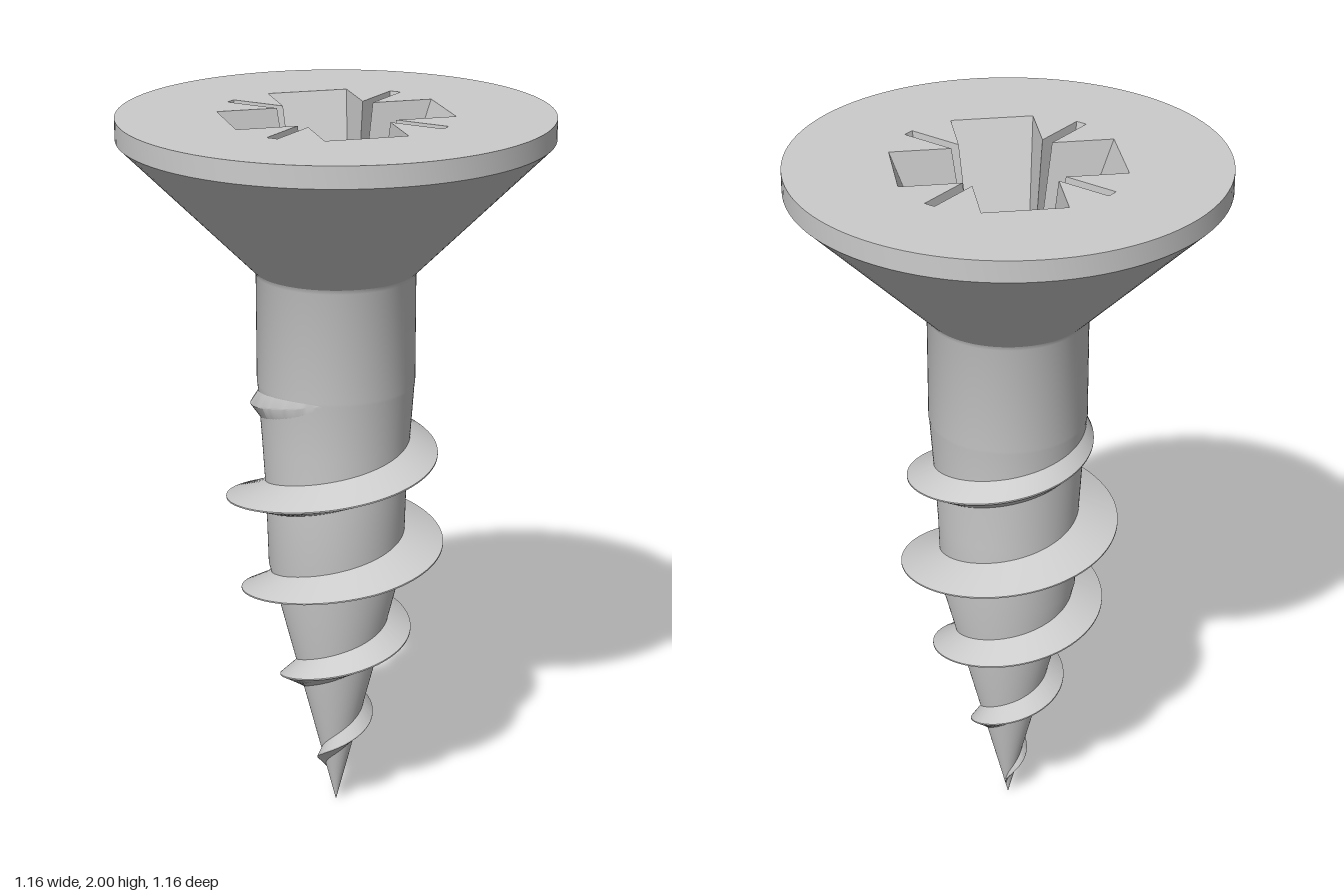
import * as THREE from 'three';
import { toCreasedNormals } from 'three/addons/utils/BufferGeometryUtils.js';

const TOP = 2, FLOOR = 1.6, SLOT_Y = 1.74;
const CORE = [[0, 0], [0.74, 0.187], [0.95, 0.193], [1.1, 0.202], [1.26, 0.213]];
const CREST = [[0.02, 0.004], [0.15, 0.058], [0.75, 0.295], [0.95, 0.303], [1.0, 0.298], [1.08, 0.275], [1.3, 0.2]];

// Linear lookup of a radius at height y
function radiusAt(table, y) {
  if (y <= table[0][0]) return table[0][1];
  for (let i = 1; i < table.length; i++) {
    const [y0, r0] = table[i - 1], [y1, r1] = table[i];
    if (y <= y1) return r0 + (r1 - r0) * (y - y0) / (y1 - y0);
  }
  return table[table.length - 1][1];
}

// Helical ridge, swept from a tapering section
function threadGeometry() {
  const pitch = 0.268, steps = 460, start = -1.5 * Math.PI, end = 7.75 * Math.PI;
  const pos = [], index = [];
  for (let i = 0; i <= steps; i++) {
    const a = start + (end - start) * i / steps;
    const y = 1.08 - pitch * a / (2 * Math.PI);
    const half = Math.min(0.047, 0.008 + 0.16 * y);
    const crest = radiusAt(CREST, y);
    const section = [
      [Math.max(radiusAt(CORE, y - half) - 0.006, 0), -half], [crest, -0.002],
      [crest, 0.002], [Math.max(radiusAt(CORE, y + half) - 0.006, 0), half],
    ];
    for (const [r, dy] of section) pos.push(r * Math.cos(a), y + dy, r * Math.sin(a));
    if (i === steps) break;
    for (let k = 0; k < 3; k++) {
      const p = i * 4 + k, q = p + 4;
      index.push(p, p + 1, q, p + 1, q + 1, q);
    }
  }
  const g = new THREE.BufferGeometry();
  g.setAttribute('position', new THREE.Float32BufferAttribute(pos, 3));
  g.setIndex(index);
  return toCreasedNormals(g, 0.5);
}

// Recess dimensions: half widths of arms and slots at top, slot floor and floor
const ARM_TOP = 0.11, ARM_LOW = 0.075, REACH_TOP = 0.295, REACH_LOW = 0.148;
const ARM_SLOT = ARM_TOP + (ARM_LOW - ARM_TOP) * (TOP - SLOT_Y) / (TOP - FLOOR);
const SLOT_TOP = 0.0155, SLOT_LOW = 0.007, PIT = 0.13;
const diagonal = (u, v) => [(u - v) * Math.SQRT1_2, (u + v) * Math.SQRT1_2];

// Flat top with the cross and its four slots cut out
function topGeometry() {
  const shape = new THREE.Shape().absarc(0, 0, 0.58, 0, Math.PI * 2);
  const outline = [], mouth = ARM_TOP + Math.SQRT2 * SLOT_TOP;
  for (let q = 0; q < 4; q++) {
    const quarter = [
      [REACH_TOP, -ARM_TOP], [REACH_TOP, ARM_TOP], [mouth, ARM_TOP],
      diagonal(0.325, -SLOT_TOP), diagonal(0.325, SLOT_TOP), [ARM_TOP, mouth],
    ];
    for (const [x, y] of quarter) {
      outline.push(new THREE.Vector2(x, y).rotateAround(new THREE.Vector2(), q * Math.PI / 2));
    }
  }
  shape.holes.push(new THREE.Path(outline));
  return new THREE.ShapeGeometry(shape, 48).rotateX(-Math.PI / 2).translate(0, TOP, 0);
}

// Walls of one arm end and one corner block with its slot
function recessQuarter() {
  const pos = [];
  const fan = (...p) => {
    for (let i = 1; i < p.length - 1; i++) pos.push(...p[0], ...p[i], ...p[i + 1]);
  };
  const at = ([x, z], y) => [x, y, z];
  const swap = ([x, y, z]) => [z, y, x];
  const flip = ([x, y, z]) => [-x, y, z];
  const T1 = [ARM_TOP, TOP, ARM_TOP + Math.SQRT2 * SLOT_TOP];
  const T2 = [ARM_TOP, TOP, REACH_TOP];
  const B2 = [ARM_LOW, FLOOR, REACH_LOW], B1 = [ARM_LOW, FLOOR, ARM_LOW];
  const S = [ARM_SLOT, SLOT_Y, ARM_SLOT];
  const S1 = [ARM_SLOT, SLOT_Y, ARM_SLOT + Math.SQRT2 * SLOT_LOW];
  const E1 = at(diagonal(0.325, SLOT_TOP), TOP), F1 = at(diagonal(0.275, SLOT_LOW), SLOT_Y);
  const [t1, t2, b2, b1, s1, e1, f1] = [T1, T2, B2, B1, S1, E1, F1].map(swap);
  fan(T2, B2, flip(B2), flip(T2));
  fan(B2, T2, T1, S1, S, B1);
  fan(b2, b1, S, s1, t1, t2);
  fan(T1, E1, F1, S1);
  fan(t1, s1, f1, e1);
  fan(E1, e1, f1, F1);
  fan(S, S1, F1, f1, s1);
  const g = new THREE.BufferGeometry();
  g.setAttribute('position', new THREE.Float32BufferAttribute(pos, 3));
  g.computeVertexNormals();
  return g;
}

// Strip of floor between the pit and the end of an arm
function armFloor() {
  const a = Math.asin(ARM_LOW / PIT);
  const shape = new THREE.Shape();
  shape.moveTo(REACH_LOW, -ARM_LOW);
  shape.lineTo(REACH_LOW, ARM_LOW);
  shape.lineTo(PIT * Math.cos(a), ARM_LOW);
  shape.absarc(0, 0, PIT, a, -a, true);
  return new THREE.ShapeGeometry(shape, 16).rotateX(-Math.PI / 2).translate(0, FLOOR, 0);
}

export function createModel() {
  const group = new THREE.Group();
  const solid = new THREE.MeshStandardMaterial({ color: 0xcccccc });
  const open = new THREE.MeshStandardMaterial({ color: 0xcccccc, side: THREE.DoubleSide });
  const add = (name, geometry, material, parent = group) => {
    const mesh = new THREE.Mesh(geometry, material);
    mesh.name = name;
    parent.add(mesh);
    return mesh;
  };
  const lathe = (points) => toCreasedNormals(
    new THREE.LatheGeometry(points.map(([y, r]) => new THREE.Vector2(r, y)), 96), 0.6);

  // Tip, core, smooth shank and countersunk head
  add('shank', lathe([...CORE, [1.27, 0.215], [1.57, 0.215], [1.583, 0.221]]), solid);
  add('head', lathe([[1.583, 0.221], [1.942, 0.58], [TOP, 0.58]]), solid);
  add('thread', threadGeometry(), open);
  add('headTop', topGeometry(), solid);

  // Cross-shaped drive recess
  const recess = new THREE.Group();
  recess.name = 'driveRecess';
  group.add(recess);
  const walls = recessQuarter(), floor = armFloor();
  for (let q = 0; q < 4; q++) {
    add('recessWalls', walls, open, recess).rotation.y = q * Math.PI / 2;
    add('recessFloor', floor, open, recess).rotation.y = q * Math.PI / 2;
  }
  add('recessPit', new THREE.LatheGeometry(
    [new THREE.Vector2(0, FLOOR - 0.07), new THREE.Vector2(PIT, FLOOR)], 48), open, recess);
  return group;
}
